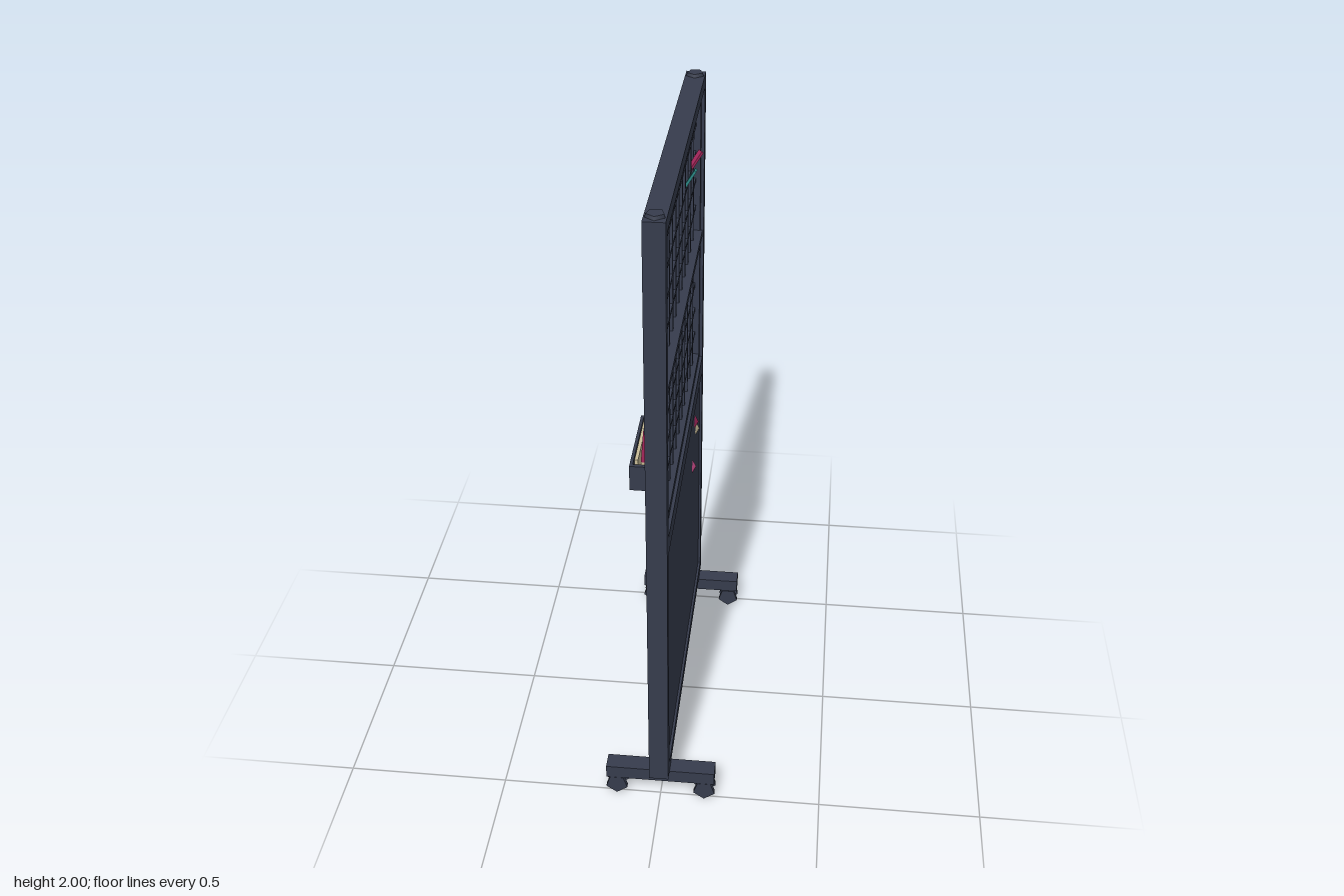
import * as THREE from 'three';

const mat = (name, color, side = THREE.FrontSide) => {
  const m = new THREE.MeshStandardMaterial({ color, side });
  m.name = name;
  return m;
};

export function createModel() {
  const root = new THREE.Group();
  root.name = 'rollingBoard';
  const slate = mat('slate', 0x363c4d);
  const paper = mat('paper grey', 0xa3a3a3, THREE.DoubleSide);
  const cream = mat('cream', 0xcabd98);
  const magenta = mat('magenta', 0xa3265a);
  const pink = mat('pink', 0xd2508f);
  const teal = mat('teal', 0x2b8684);
  const ink = mat('ink', 0x22262f);

  const add = (name, geo, m, parent = root) => {
    const mesh = new THREE.Mesh(geo, m);
    mesh.name = name;
    parent.add(mesh);
    return mesh;
  };
  // box given by its limits on each axis
  const box = (name, m, [x0, x1], [y0, y1], [z0, z1], parent = root) => {
    const b = add(name, new THREE.BoxGeometry(x1 - x0, y1 - y0, z1 - z0), m, parent);
    b.position.set((x0 + x1) / 2, (y0 + y1) / 2, (z0 + z1) / 2);
    return b;
  };
  // thin bar between two points
  const bar = (name, m, a, b, w, t) => {
    const p = new THREE.Vector3(...a), q = new THREE.Vector3(...b);
    const mesh = add(name, new THREE.BoxGeometry(t, w, p.distanceTo(q)), m);
    mesh.position.copy(p).add(q).multiplyScalar(0.5);
    mesh.lookAt(q);
    return mesh;
  };

  // posts, caps, feet and twin-wheel casters
  for (const s of [-1, 1]) {
    const span = (a, b) => (s > 0 ? [a, b] : [-b, -a]);
    box('post', slate, [-0.03, 0.03], [0.11, 1.99], span(0.517, 0.55));
    const cap = add('postCap', new THREE.CylinderGeometry(0.025, 0.028, 0.012, 5), slate);
    cap.position.set(0, 1.994, s * 0.514);
    box('foot', slate, [-0.17, 0.17], [0.066, 0.11], span(0.46, 0.515));
    for (const x of [-0.138, 0.138]) {
      for (const z of [0.468, 0.505]) {
        const geo = new THREE.CylinderGeometry(0.035, 0.035, 0.016, 5);
        geo.rotateX(Math.PI / 2);
        const wheel = add('casterWheel', geo, slate);
        wheel.position.set(x, 0.035, s * z);
      }
      box('casterStem', slate, [x - 0.02, x + 0.02], [0.03, 0.067], span(0.476, 0.497));
    }
    // inner border of the wire mesh
    box('meshSideBorder', slate, [-0.02, 0.02], [1.015, 1.95], span(0.497, 0.518));
  }

  // cross rails
  const inner = [-0.517, 0.517];
  box('topRail', slate, [-0.03, 0.03], [1.95, 1.99], inner);
  box('middleRail', slate, [-0.03, 0.03], [0.955, 1.015], inner);
  box('bottomRail', slate, [-0.03, 0.03], [0.11, 0.145], inner);
  box('meshTopBorder', slate, [-0.02, 0.02], [1.927, 1.951], inner);
  box('meshBottomBorder', slate, [-0.02, 0.02], [1.01, 1.035], inner);
  box('meshRail', slate, [-0.028, 0.028], [1.467, 1.487], [-0.5, 0.5]);
  box('panel', slate, [-0.022, 0.022], [0.14, 0.96], inner);

  // wire grid
  for (let i = -5; i <= 5; i++) {
    const z = i * 0.085;
    box('uprightWire', slate, [-0.006, 0.006], [1.02, 1.94], [z - 0.007, z + 0.007]);
  }
  for (let i = -4; i <= 4; i++) {
    const y = 1.477 + i * 0.091;
    if (i) box('levelWire', slate, [-0.006, 0.006], [y - 0.006, y + 0.006], [-0.5, 0.5]);
  }

  // magnets: low square pyramids on either face
  const magnet = (m, side, y, z, r = 0.026) => {
    const geo = new THREE.ConeGeometry(r, 0.012, 4);
    geo.rotateZ(-side * Math.PI / 2);
    add('magnet', geo, m).position.set(side * 0.028, y, z);
  };
  magnet(magenta, 1, 0.86, -0.35);
  magnet(cream, 1, 0.81, -0.388);
  magnet(pink, 1, 0.728, -0.278);
  magnet(magenta, -1, 0.86, -0.305);
  magnet(magenta, -1, 0.51, 0.326);
  magnet(cream, -1, 0.465, 0.284);

  // poster with a small printed motif
  box('poster', paper, [-0.025, -0.021], [0.45, 0.93], [-0.48, -0.15]);
  const spots = [[0.70, -0.34], [0.71, -0.28], [0.67, -0.31], [0.64, -0.35], [0.63, -0.29], [0.66, -0.26]];
  for (const [y, z] of spots) {
    box('posterMotif', ink, [-0.027, -0.0245], [y - 0.016, y + 0.016], [z - 0.017, z + 0.017]);
  }

  // sticky notes
  for (const [y, z, turn] of [[0.855, 0.316, 0.08], [0.855, 0.41, -0.06], [0.735, 0.24, -0.1]]) {
    const note = box('stickyNote', cream, [-0.027, -0.021], [y - 0.04, y + 0.04], [z - 0.044, z + 0.044]);
    note.rotation.x = turn;
  }

  // torn scrap of paper
  const scrap = new THREE.Shape([[-0.09, -0.05], [0, -0.06], [0.05, -0.04], [0.085, 0], [0.08, 0.06],
    [0.04, 0.045], [0, 0.065], [-0.04, 0.04], [-0.085, 0.045]].map(p => new THREE.Vector2(...p)));
  const scrapMesh = add('paperScrap', new THREE.ShapeGeometry(scrap), paper);
  scrapMesh.rotation.y = -Math.PI / 2;
  scrapMesh.position.set(-0.026, 0.39, 0.21);

  // open basket hooked on the mesh
  const bx = [-0.09, -0.028], by = [1.11, 1.19], bz = [0.158, 0.43];
  box('basketFloor', slate, bx, [1.11, 1.12], bz);
  box('basketFront', slate, [-0.09, -0.081], by, bz);
  box('basketBack', slate, [-0.036, -0.028], by, bz);
  box('basketEnd', slate, bx, by, [0.158, 0.17]);
  box('basketEnd', slate, bx, by, [0.418, 0.43]);

  // leaning magazine with a coloured band, and a low booklet before it
  const mag = new THREE.Group();
  mag.name = 'magazine';
  mag.position.set(-0.057, 1.122, 0);
  mag.rotation.z = -0.075;
  root.add(mag);
  const mz = [0.172, 0.416];
  box('magazineTop', paper, [-0.006, 0.006], [0.178, 0.333], mz, mag);
  box('magazineBand', magenta, [-0.007, 0.007], [0.075, 0.178], mz, mag);
  box('magazineBase', cream, [-0.006, 0.006], [0, 0.075], mz, mag);
  for (const [y, z] of [[0.262, 0.25], [0.27, 0.29], [0.255, 0.32], [0.268, 0.35]]) {
    box('magazinePrint', ink, [-0.008, -0.0055], [y - 0.011, y + 0.011], [z - 0.011, z + 0.011], mag);
  }
  box('booklet', cream, [-0.077, -0.067], [1.12, 1.2], [0.18, 0.41]);

  // cards held to the mesh by two-legged pegs
  const hang = (name, m, z, w, turn, out) => {
    const card = new THREE.Group();
    card.name = name;
    card.position.set(-0.026, 1.74, z);
    card.rotation.set(turn, 0, -out);
    root.add(card);
    box('cardBack', paper, [0, 0.002], [-0.11, 0], [-w / 2, w / 2], card);
    box('cardFace', m, [-0.002, 0], [-0.11, 0], [-w / 2, w / 2], card);
  };
  hang('greyCard', paper, -0.217, 0.074, 0.06, 0.17);
  hang('creamCard', cream, -0.333, 0.105, -0.08, 0.24);
  for (const [m, z0, z1, top] of [[teal, -0.217, -0.213, 1.81], [magenta, -0.345, -0.385, 1.8]]) {
    bar('pegLeg', m, [-0.034, 1.7, z0], [0.032, top, z1], 0.008, 0.02);
    bar('pegLeg', m, [-0.036, 1.7, z0], [-0.008, top, z1], 0.008, 0.02);
  }
  return root;
}
